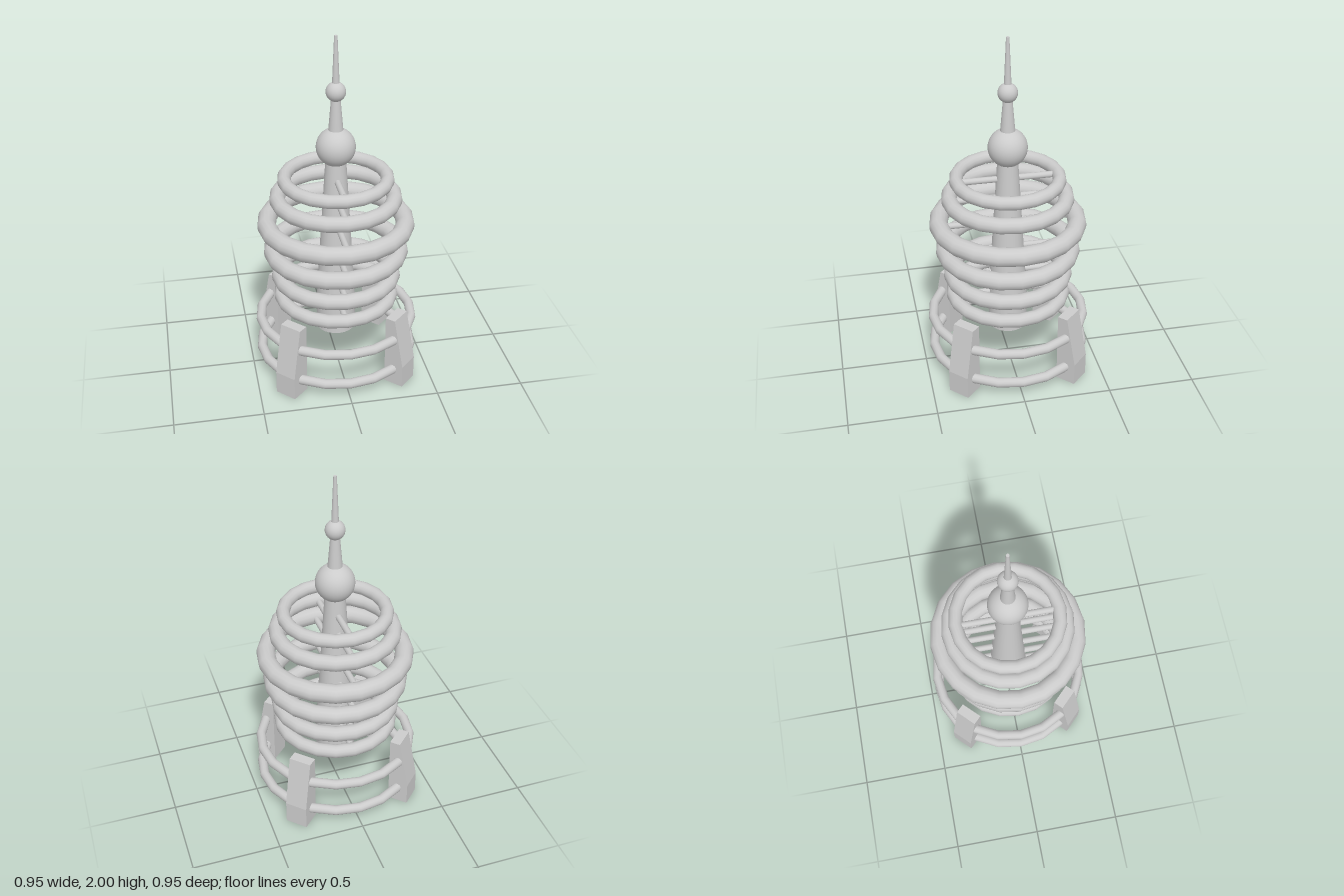
import * as THREE from 'three';

const material = new THREE.MeshStandardMaterial({ color: 0xcccccc });

export function createModel() {
  const model = new THREE.Group();

  const add = (name, geometry, y = 0) => {
    const mesh = new THREE.Mesh(geometry, material);
    mesh.name = name;
    mesh.position.y = y;
    model.add(mesh);
    return mesh;
  };
  const ring = (name, y, radius, tube) =>
    add(name, new THREE.TorusGeometry(radius, tube, 14, 20).rotateX(Math.PI / 2), y);
  // Tapered round section between two heights
  const taper = (name, y0, r0, y1, r1) =>
    add(name, new THREE.CylinderGeometry(r1, r0, y1 - y0, 24), (y0 + y1) / 2);

  // Central column with its finial
  taper('columnBase', 0.217, 0.114, 0.42, 0.113);
  taper('column', 0.42, 0.113, 1.3, 0.057);
  add('largeBall', new THREE.SphereGeometry(0.11, 32, 20), 1.37);
  taper('neck', 1.45, 0.043, 1.67, 0.024);
  add('smallBall', new THREE.SphereGeometry(0.055, 24, 16), 1.69);
  taper('spire', 1.72, 0.021, 2, 0.009);

  // Cage rings [height, radius, tube], each carried by a rod through the column
  const cage = [
    [0.442, 0.323, 0.039],
    [0.575, 0.33, 0.044],
    [0.737, 0.366, 0.049],
    [0.91, 0.394, 0.053],
    [1.065, 0.33, 0.044],
    [1.18, 0.289, 0.038],
  ];
  for (const [y, radius, tube] of cage) {
    ring('cageRing', y, radius, tube);
    add('spokeRod', new THREE.CylinderGeometry(0.018, 0.018, radius * 2, 12).rotateX(Math.PI / 2), y);
  }

  // Base rings joining the legs
  for (const y of [0.099, 0.3]) ring('baseRing', y, 0.445, 0.028);

  // Four diagonal legs, outer face leaning in above the foot
  const profile = new THREE.Shape([
    [0.387, 0], [0.506, 0], [0.506, 0.135], [0.447, 0.43], [0.387, 0.43],
  ].map(([x, y]) => new THREE.Vector2(x, y)));
  const legGeometry = new THREE.ExtrudeGeometry(profile, { depth: 0.13, bevelEnabled: false })
    .translate(0, 0, -0.065);
  for (let i = 0; i < 4; i++) {
    add('leg', legGeometry).rotation.y = Math.PI / 4 + (i * Math.PI) / 2;
  }

  return model;
}
